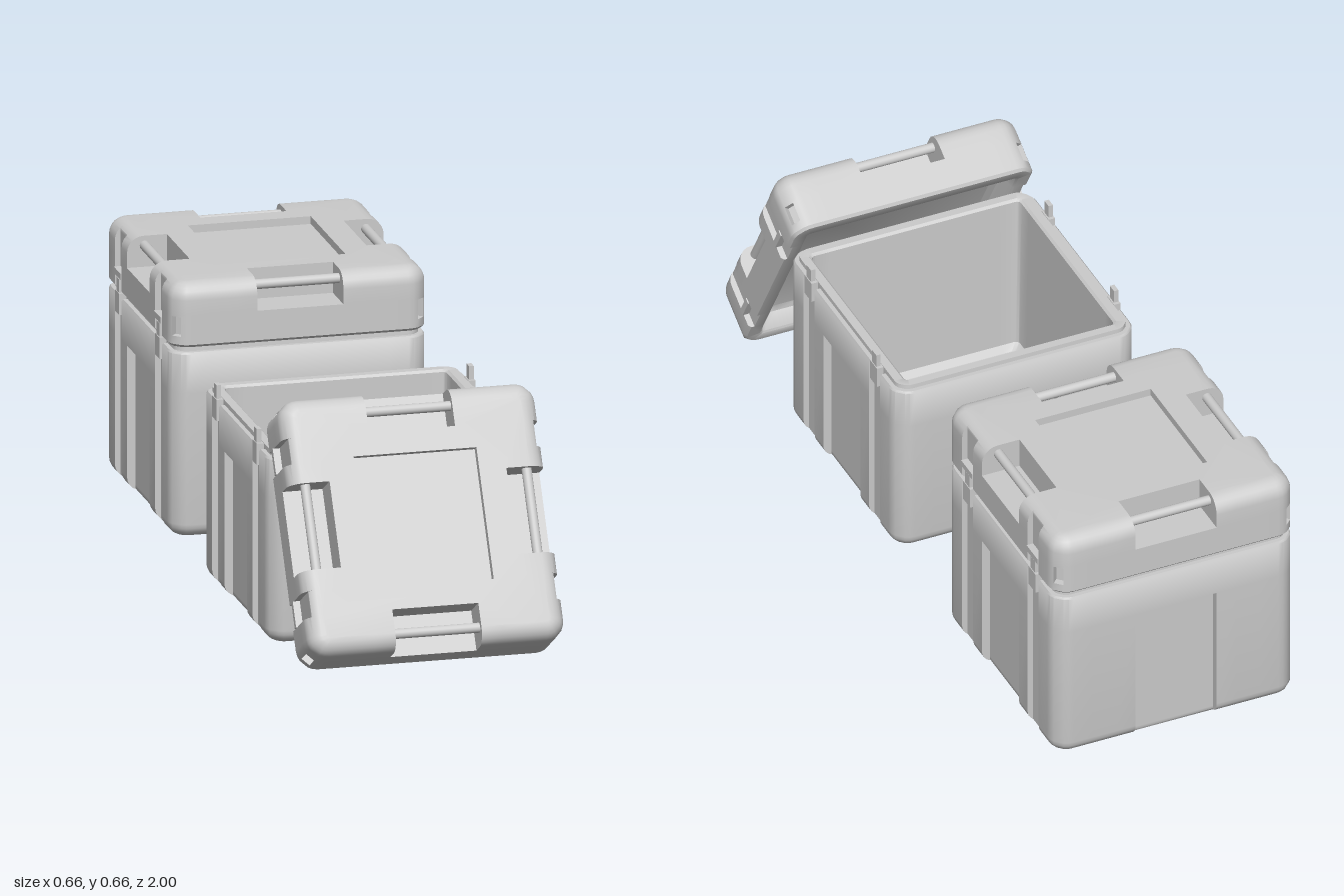
import * as THREE from 'three';
import { toCreasedNormals } from 'three/addons/utils/BufferGeometryUtils.js';

const H = 0.328; // half width of a case
const R = 0.05; // corner radius
const grey = new THREE.MeshStandardMaterial({ color: 0xcccccc });

// Points along one side: [position, recess it belongs to]
const half = [[0.11, 'panel'], [0.11, ''], [0.162, ''], [0.162, 'groove'], [0.228, 'groove'], [0.228, '']];
const side = [...half.map(([t, n]) => [-t, n]).reverse(), ...half];
const corner = [[0, ''], [15, ''], [30, ''], [30, 'slot'], [60, 'slot'], [60, ''], [75, ''], [90, '']];

// Rounded square cross-section, inset by d, with the given recess depths
function loop(d, y, cut = {}) {
  const pts = [];
  const r = Math.max(R - d, 0.012), c = H - d - r;
  for (let k = 0; k < 4; k++) {
    const local = side.map(([t, name]) => {
      const depth = name === 'groove' && k % 2 ? 0 : cut[name] || 0;
      return [Math.min(H - d, H - depth), t];
    });
    for (const [deg, name] of corner) {
      const a = THREE.MathUtils.degToRad(deg);
      const s = name ? (cut[name] || 0) * Math.SQRT1_2 : 0;
      local.push([c + r * Math.cos(a) - s, c + r * Math.sin(a) - s]);
    }
    const co = [1, 0, -1, 0][k], si = [0, 1, 0, -1][k];
    for (const [x, w] of local) pts.push(new THREE.Vector3(x * co - w * si, y, -(x * si + w * co)));
  }
  return pts;
}

function rect(hx, hz, y) {
  return [[1, 1], [1, -1], [-1, -1], [-1, 1]].map(([x, z]) => new THREE.Vector3(x * hx, y, z * hz));
}

function tri(out, a, b, c) {
  const n = b.clone().sub(a).cross(c.clone().sub(a));
  if (n.length() > 1e-10) out.push(a, b, c);
}

function loft(out, loops) {
  for (let i = 0; i + 1 < loops.length; i++) {
    const p = loops[i], q = loops[i + 1];
    for (let j = 0; j < p.length; j++) {
      const k = (j + 1) % p.length;
      tri(out, p[j], p[k], q[k]);
      tri(out, p[j], q[k], q[j]);
    }
  }
}

// Flat horizontal face, facing up or down, optionally with a hole
function cap(out, ring, up, hole = []) {
  const flat = (l) => l.map((p) => new THREE.Vector2(p.x, -p.z));
  const all = [...ring, ...hole];
  for (const f of THREE.ShapeUtils.triangulateShape(flat(ring), hole.length ? [flat(hole)] : [])) {
    const [a, b, c] = f.map((i) => all[i]);
    const ny = b.clone().sub(a).cross(c.clone().sub(a)).y;
    if ((ny > 0) === up) tri(out, a, b, c);
    else tri(out, a, c, b);
  }
}

function solid(name, out) {
  const g = new THREE.BufferGeometry().setFromPoints(out);
  const mesh = new THREE.Mesh(toCreasedNormals(g, 0.7), grey);
  mesh.name = name;
  return mesh;
}

function box(parent, name, w, h, d, x, y, z) {
  const mesh = new THREE.Mesh(new THREE.BoxGeometry(w, h, d), grey);
  mesh.position.set(x, y, z);
  mesh.name = name;
  parent.add(mesh);
}

// Hollow body with side panels and latch grooves
function makeBody() {
  const group = new THREE.Group();
  group.name = 'body';
  const low = { panel: 0.022, groove: 0.015 }, high = { groove: 0.015 };
  const loops = [];
  for (let i = 0; i <= 5; i++) {
    const a = (i / 5) * Math.PI / 2;
    loops.push(loop(0.035 * (1 - Math.sin(a)), 0.035 * (1 - Math.cos(a)), low));
  }
  loops.push(loop(0, 0.375, low), loop(0, 0.375, high), loop(0, 0.474, high), loop(0.004, 0.479, high));
  for (const [d, y] of [[0.015, 0.479], [0.016, 0.49], [0.038, 0.49], [0.044, 0.484], [0.05, 0.06], [0.065, 0.045]]) {
    loops.push(loop(d, y));
  }
  const out = [];
  cap(out, loops[0], false);
  loft(out, loops);
  cap(out, loops[loops.length - 1], true);
  group.add(solid('bodyShell', out));

  // Latches
  for (const sx of [-1, 1]) for (const sz of [-1, 1]) {
    box(group, 'latchBase', 0.018, 0.055, 0.042, sx * 0.322, 0.4625, sz * 0.195);
    box(group, 'latchTongue', 0.012, 0.09, 0.025, sx * 0.323, 0.48, sz * 0.195);
  }
  return group;
}

// Lid with four handle pockets, sunken top panel and corner slots
function makeLid() {
  const group = new THREE.Group();
  group.name = 'lid';
  const top = 0.163, edge = 0.042;
  const plain = { groove: 0.015 }, slot = { groove: 0.015, slot: 0.018 }, pocket = { groove: 0.015, panel: 0.102 };
  const loops = [
    loop(0.075, 0.05), loop(0.06, 0.042), loop(0.045, 0.004), loop(0.04, 0), loop(0.007, 0, plain),
    loop(0, 0.007, plain), loop(0, 0.028, plain), loop(0, 0.028, slot), loop(0, 0.078, slot),
    loop(0, 0.078, plain), loop(0, 0.083, plain), loop(0, 0.083, pocket),
  ];
  for (let i = 0; i <= 6; i++) {
    const a = (i / 6) * Math.PI / 2;
    loops.push(loop(edge * (1 - Math.cos(a)), top - edge * (1 - Math.sin(a)), pocket));
  }
  const out = [];
  const rim = rect(0.157, 0.168, top), floor = rect(0.157, 0.168, top - 0.02);
  cap(out, loops[0], false);
  loft(out, loops);
  cap(out, loops[loops.length - 1], true, rim);
  loft(out, [rim, floor]);
  cap(out, floor, true);
  group.add(solid('lidShell', out));

  // Handle bars across the pockets
  for (let k = 0; k < 4; k++) {
    const a = k * Math.PI / 2;
    const bar = new THREE.Mesh(new THREE.CylinderGeometry(0.0125, 0.0125, 0.224, 20), grey);
    bar.rotation.set(Math.PI / 2, 0, a, 'YXZ');
    bar.rotation.set(Math.PI / 2, a, 0, 'YXZ');
    bar.position.set(0.283 * Math.cos(a), 0.138, -0.283 * Math.sin(a));
    bar.name = 'handleBar';
    group.add(bar);
  }

  // Latch keepers
  for (const sx of [-1, 1]) for (const sz of [-1, 1]) {
    box(group, 'latchKeeper', 0.02, 0.016, 0.066, sx * 0.321, 0.045, sz * 0.195);
  }
  return group;
}

export function createModel() {
  const model = new THREE.Group();
  model.name = 'storageCases';

  // Closed case at the back
  const closed = new THREE.Group();
  closed.name = 'closedCase';
  const closedLid = makeLid();
  closedLid.position.y = 0.492;
  closed.add(makeBody(), closedLid);
  closed.position.z = -0.672;

  // Open case, with its lid leaning on the front
  const open = new THREE.Group();
  open.name = 'openCase';
  const openBody = makeBody();
  openBody.position.z = 0.273;
  const leaningLid = makeLid();
  leaningLid.name = 'leaningLid';
  leaningLid.rotation.x = Math.PI / 3;
  leaningLid.position.set(0, 0.298, 0.712);
  open.add(openBody, leaningLid);

  model.add(closed, open);
  return model;
}
